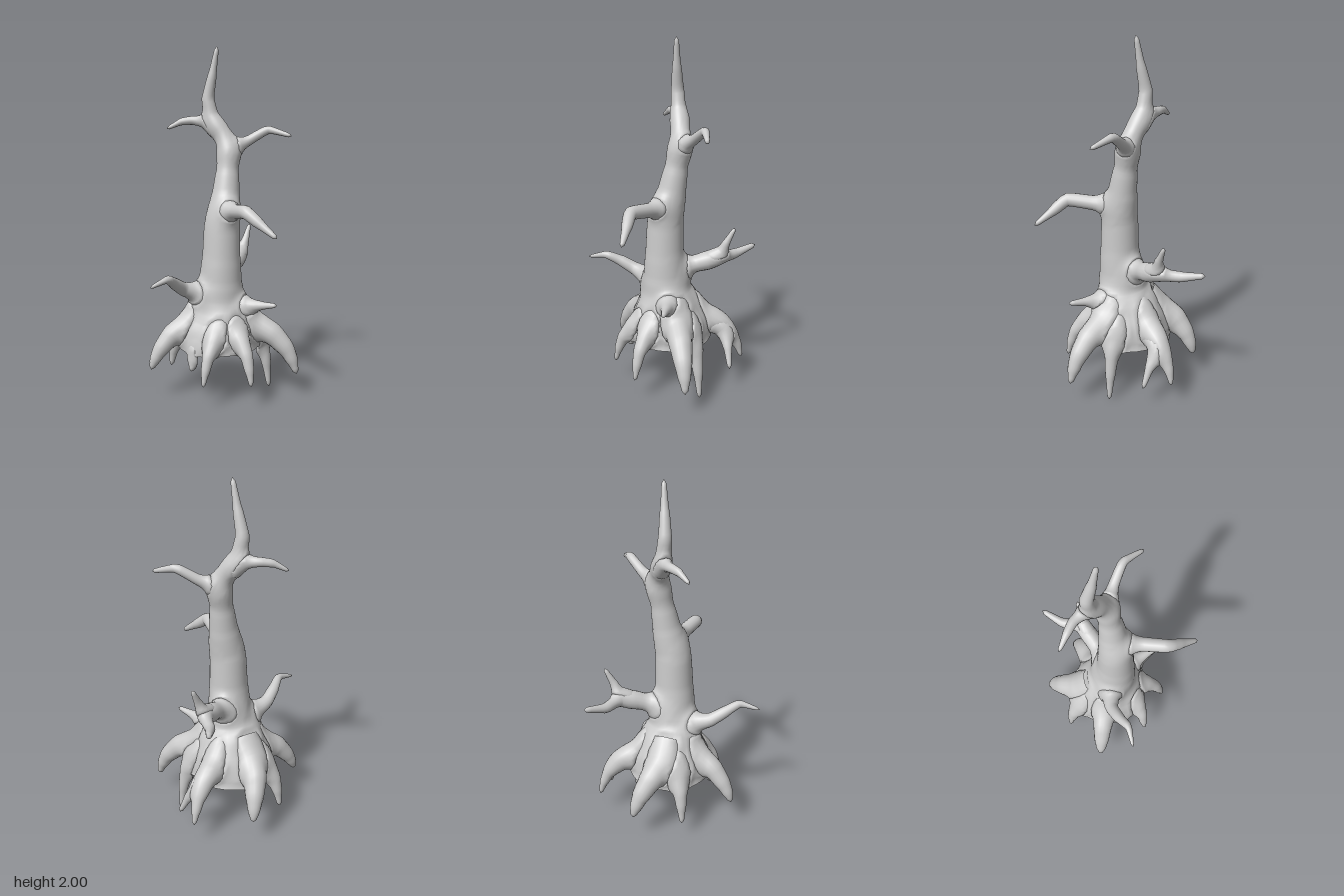
import * as THREE from 'three';
import { mergeVertices } from 'three/addons/utils/BufferGeometryUtils.js';

const bark = new THREE.MeshStandardMaterial({ color: 0xcccccc, side: THREE.DoubleSide });
const CENTRE = { x: 0.06, z: -0.07 };
const BLEND = 0.075;

function finish(geometry, name) {
  geometry.deleteAttribute('uv');
  geometry.deleteAttribute('normal');
  const welded = mergeVertices(geometry, 1e-5);
  welded.computeVertexNormals();
  const mesh = new THREE.Mesh(welded, bark);
  mesh.name = name;
  return mesh;
}

// Tapered tube through nodes [x, y, z, radius]; rings are kept for blending the joints
function limb(name, nodes, sides = 16) {
  const points = nodes.map(n => new THREE.Vector3(n[0], n[1], n[2]));
  const curve = new THREE.CatmullRomCurve3(points, false, 'catmullrom', 0.2);
  const steps = (nodes.length - 1) * 6;
  const geometry = new THREE.TubeGeometry(curve, steps, 1, sides);
  const pos = geometry.attributes.position;
  const v = new THREE.Vector3();
  const rings = [];
  for (let i = 0; i <= steps; i++) {
    const c = curve.getPointAt(i / steps);
    const t = curve.getUtoTmapping(i / steps) * (nodes.length - 1);
    const k = Math.min(Math.floor(t), nodes.length - 2);
    const r = THREE.MathUtils.lerp(nodes[k][3], nodes[k + 1][3], t - k);
    rings.push({ c, r });
    for (let j = 0; j <= sides; j++) {
      const id = i * (sides + 1) + j;
      v.fromBufferAttribute(pos, id).sub(c).multiplyScalar(i === steps ? 0 : r).add(c);
      pos.setXYZ(id, v.x, v.y, v.z);
    }
  }
  return { name, geometry, rings, sides };
}

// Distance from a point to the skin of one limb
function limbDistance(x, y, z, rings) {
  let best = 10;
  for (let i = 0; i < rings.length - 1; i++) {
    const a = rings[i], b = rings[i + 1];
    const dx = b.c.x - a.c.x, dy = b.c.y - a.c.y, dz = b.c.z - a.c.z;
    const px = x - a.c.x, py = y - a.c.y, pz = z - a.c.z;
    let t = (px * dx + py * dy + pz * dz) / (dx * dx + dy * dy + dz * dz);
    if (i === 0 && t < 0) continue;
    t = Math.min(1, Math.max(0, t));
    const d = Math.hypot(px - dx * t, py - dy * t, pz - dz * t) - a.r - (b.r - a.r) * t;
    if (d < best) best = d;
  }
  return best;
}

// Smooth union of all limbs
function skinDistance(x, y, z, limbs) {
  let d = 10;
  for (const { rings } of limbs) {
    const e = limbDistance(x, y, z, rings);
    const h = Math.max(BLEND - Math.abs(d - e), 0) / BLEND;
    d = Math.min(d, e) - h * h * BLEND / 4;
  }
  return d;
}

// Swell each limb near its joints so that neighbours flow into one another;
// points buried in a neighbour stay below the shared skin
function blendJoints(limbs) {
  const step = 0.002;
  for (const own of limbs) {
    const pos = own.geometry.attributes.position;
    const others = limbs.filter(l => l !== own);
    for (let id = 0; id < (own.rings.length - 1) * (own.sides + 1); id++) {
      let x = pos.getX(id), y = pos.getY(id), z = pos.getZ(id);
      const target = Math.min(0, ...others.map(l => limbDistance(x, y, z, l.rings)));
      if (target < -0.06) continue;
      for (let pass = 0; pass < 3; pass++) {
        const d = skinDistance(x, y, z, limbs);
        const move = d - target;
        if (move > -0.001) break;
        const gx = skinDistance(x + step, y, z, limbs) - d;
        const gy = skinDistance(x, y + step, z, limbs) - d;
        const gz = skinDistance(x, y, z + step, limbs) - d;
        const g = Math.hypot(gx, gy, gz) || 1;
        x -= move * gx / g;
        y -= move * gy / g;
        z -= move * gz / g;
      }
      pos.setXYZ(id, x, y, z);
    }
  }
}

// Root tips: [x, y, z, thickness, sideways bend]
const ROOTS = [
  [-0.345, 0.175, -0.145, 1.1, 0],
  [-0.18, 0.13, 0.155, 0.85, -0.13],
  [0.05, 0.13, 0.29, 0.9, 0],
  [0.375, 0.14, 0.28, 1.2, 0],
  [0.34, 0.0, 0.06, 1.0, 0],
  [0.43, 0.14, -0.28, 0.9, 0],
  [0.145, 0.16, -0.45, 1.25, -0.15],
  [-0.11, 0.1, -0.335, 1.0, 0],
  [-0.175, 0.18, 0.015, 0.6, 0],
];

// Root that leaves the trunk, arches outward and bends down to its tip
function root([x, y, z, s, bend], index) {
  const dx = x - CENTRE.x, dz = z - CENTRE.z;
  const at = (f, h, r) => {
    const side = bend * Math.sin(Math.PI * f);
    return [CENTRE.x + dx * f - dz * side, h, CENTRE.z + dz * f + dx * side, r * s];
  };
  return limb('root' + (index + 1), [
    at(0.22, 0.52, 0.055),
    at(0.45, 0.43, 0.062),
    at(0.7, 0.365, 0.054),
    at(0.87, 0.285, 0.04),
    at(0.95, (y + 0.28) / 2, 0.027),
    at(1, y, 0.009),
  ]);
}

// Shallow concave underside between the roots
function hollow() {
  const profile = [[0, 0.36], [0.08, 0.354], [0.15, 0.335], [0.2, 0.31], [0.237, 0.283]];
  const geometry = new THREE.LatheGeometry(profile.map(p => new THREE.Vector2(...p)), 32);
  geometry.translate(CENTRE.x, 0, CENTRE.z);
  return finish(geometry, 'hollowUnderside');
}

export function createModel() {
  const tree = new THREE.Group();
  tree.name = 'deadTree';

  // Trunk, flared at the foot, leaning and narrowing to a bent point
  const limbs = [limb('trunk', [
    [0.06, 0.28, -0.07, 0.238], [0.06, 0.36, -0.07, 0.215], [0.057, 0.45, -0.06, 0.178],
    [0.053, 0.53, -0.045, 0.148], [0.05, 0.64, -0.03, 0.128], [0.05, 0.8, -0.02, 0.11],
    [0.055, 1.0, -0.02, 0.101], [0.085, 1.15, -0.03, 0.083], [0.107, 1.3, -0.045, 0.064],
    [0.12, 1.42, -0.06, 0.06], [0.105, 1.51, -0.09, 0.051], [0.062, 1.61, -0.14, 0.041],
    [0.045, 1.71, -0.155, 0.037], [0.057, 1.85, -0.125, 0.024], [0.07, 2.0, -0.098, 0.01],
  ], 48)];

  limbs.push(...ROOTS.map(root));

  // Branches and side shoots, each starting inside its parent
  const branches = {
    rootFork: [[0.27, 0.39, -0.19, 0.042], [0.35, 0.33, -0.2, 0.037], [0.4, 0.24, -0.16, 0.026],
      [0.437, 0.13, -0.12, 0.009]],
    lowerRightBranch: [[0.02, 0.54, -0.05, 0.08], [-0.08, 0.61, -0.06, 0.055], [-0.18, 0.645, -0.06, 0.039],
      [-0.26, 0.695, -0.02, 0.032], [-0.33, 0.733, 0.03, 0.022], [-0.445, 0.705, 0.05, 0.006]],
    frontBranch: [[0.06, 1.04, -0.02, 0.055], [0.055, 1.085, 0.05, 0.047], [0.045, 1.09, 0.13, 0.041],
      [0.02, 1.103, 0.27, 0.037], [0.05, 1.05, 0.35, 0.029], [0.09, 0.98, 0.455, 0.009]],
    lowerLeftBranch: [[0.07, 0.65, -0.07, 0.07], [0.15, 0.715, -0.11, 0.054], [0.23, 0.745, -0.15, 0.043],
      [0.31, 0.765, -0.215, 0.034], [0.345, 0.765, -0.33, 0.029], [0.415, 0.8, -0.445, 0.012]],
    lowerLeftFork: [[0.24, 0.745, -0.16, 0.03], [0.32, 0.81, -0.2, 0.027], [0.345, 0.86, -0.205, 0.024],
      [0.39, 0.955, -0.225, 0.008]],
    upperLeftBranch: [[0.12, 1.39, -0.055, 0.038], [0.17, 1.44, -0.04, 0.034], [0.235, 1.475, -0.015, 0.029],
      [0.33, 1.535, 0.04, 0.024], [0.412, 1.5, 0.155, 0.009]],
    upperRightBranch: [[0.08, 1.53, -0.13, 0.032], [0.04, 1.575, -0.18, 0.028], [-0.01, 1.588, -0.23, 0.026],
      [-0.07, 1.58, -0.265, 0.021], [-0.142, 1.54, -0.307, 0.007]],
    frontSpur: [[0.1, 0.5, 0.01, 0.06], [0.145, 0.54, 0.1, 0.038], [0.185, 0.55, 0.18, 0.027],
      [0.23, 0.565, 0.277, 0.009]],
  };
  for (const [name, nodes] of Object.entries(branches)) limbs.push(limb(name, nodes));

  blendJoints(limbs);
  for (const { geometry, name } of limbs) tree.add(finish(geometry, name));
  tree.add(hollow());
  return tree;
}
